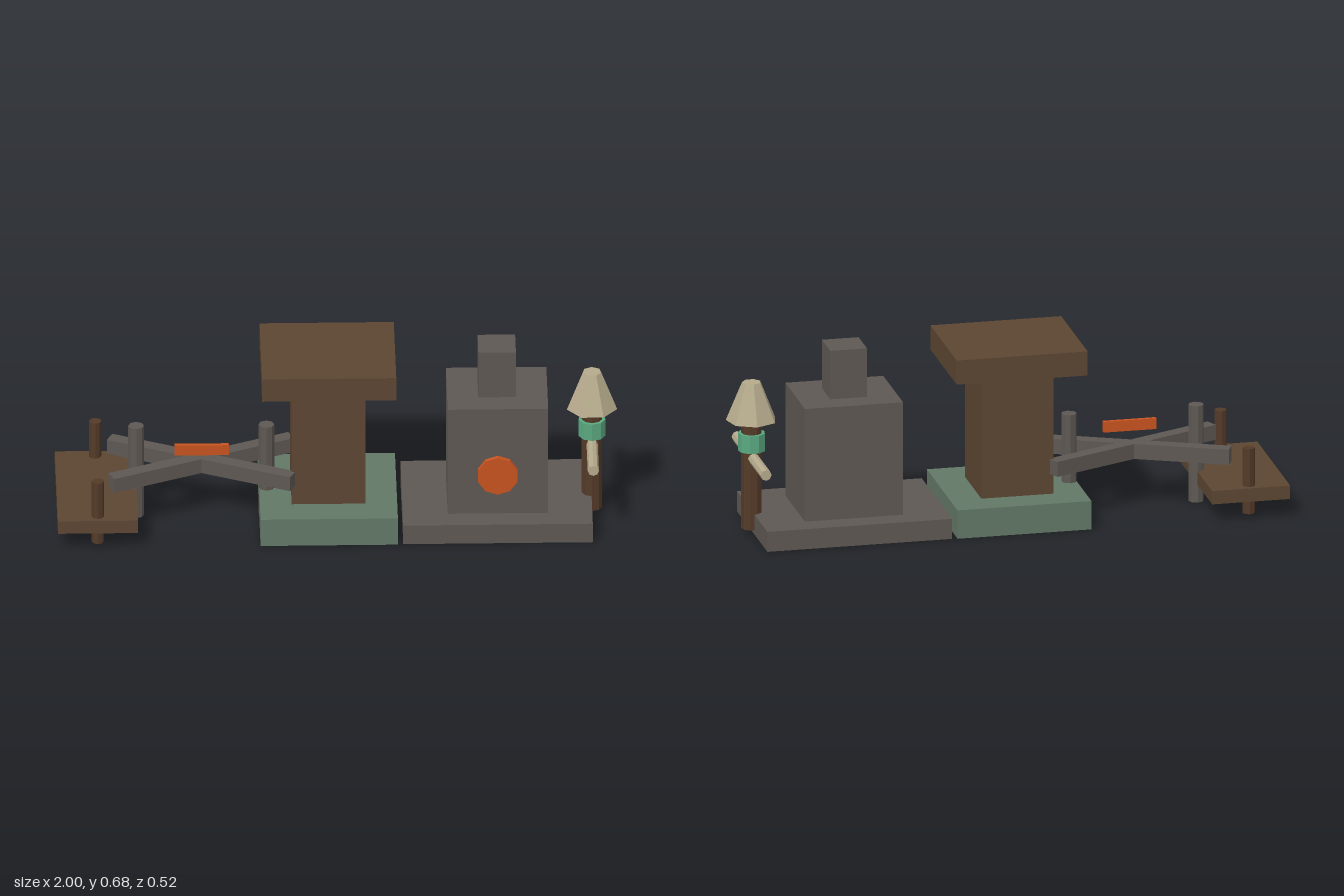
import * as THREE from 'three';

const mat = (name, color) => {
  const m = new THREE.MeshStandardMaterial({ color, flatShading: true });
  m.name = name;
  return m;
};

export function createModel() {
  const wood = mat('wood', 0x5c4632);
  const darkWood = mat('dark wood', 0x543a28);
  const iron = mat('iron', 0x5e5853);
  const moss = mat('moss green', 0x627866);
  const jade = mat('jade', 0x5aa880);
  const ember = mat('ember orange', 0xc9531f);
  const bone = mat('bone', 0xb5aa8c);

  const model = new THREE.Group();
  model.name = 'campWorkshop';

  const add = (group, name, geometry, material, x, y, z) => {
    const mesh = new THREE.Mesh(geometry, material);
    mesh.name = name;
    mesh.position.set(x, y, z);
    group.add(mesh);
    return mesh;
  };
  // Box given by its extents along each axis
  const box = (group, name, material, [x0, x1], [y0, y1], [z0, z1]) =>
    add(group, name, new THREE.BoxGeometry(x1 - x0, y1 - y0, z1 - z0), material,
      (x0 + x1) / 2, (y0 + y1) / 2, (z0 + z1) / 2);
  // Upright cylinder or cone between two heights
  const post = (group, name, material, x, z, y0, y1, rTop, rBottom, sides) =>
    add(group, name, new THREE.CylinderGeometry(rTop, rBottom, y1 - y0, sides), material,
      x, (y0 + y1) / 2, z);
  const section = (name) => {
    const g = new THREE.Group();
    g.name = name;
    model.add(g);
    return g;
  };

  // Low bench with a peg through each end
  const bench = section('bench');
  box(bench, 'benchPlank', wood, [-1, -0.715], [0.067, 0.117], [-0.262, 0.262]);
  for (const s of [-1, 1]) post(bench, 'benchPeg', darkWood, -0.857, s * 0.225, 0.015, 0.259, 0.022, 0.022, 8);

  // Rack: two posts, crossed bars and a glowing bar
  const rack = section('rack');
  for (const x of [-0.716, -0.252]) post(rack, 'rackPost', iron, x, 0, 0, 0.36, 0.028, 0.028, 8);
  for (const s of [-1, 1]) {
    const bar = add(rack, 'crossBar', new THREE.BoxGeometry(0.71, 0.056, 0.05), iron, -0.484, 0.208, 0);
    bar.rotation.y = s * 0.427;
  }
  box(rack, 'glowingBar', ember, [-0.58, -0.387], [0.265, 0.305], [0.037, 0.052]);

  // Central pillar with plinth and slab
  const pillar = section('pillar');
  box(pillar, 'plinth', moss, [-0.278, 0.211], [0, 0.106], [-0.245, 0.245]);
  box(pillar, 'pillarShaft', wood, [-0.165, 0.098], [0.106, 0.565], [-0.131, 0.131]);
  box(pillar, 'pillarSlab', wood, [-0.272, 0.206], [0.565, 0.655], [-0.21, 0.21]);

  // Furnace
  const furnace = section('furnace');
  box(furnace, 'furnaceBase', iron, [0.23, 0.905], [0, 0.075], [-0.242, 0.242]);
  box(furnace, 'furnaceBody', iron, [0.39, 0.748], [0.075, 0.496], [-0.157, 0.157]);
  box(furnace, 'chimney', iron, [0.501, 0.635], [0.496, 0.677], [-0.067, 0.067]);
  const door = add(furnace, 'fireDoor', new THREE.CylinderGeometry(0.074, 0.074, 0.024, 10), ember, 0.568, 0.234, 0.163);
  door.rotation.x = Math.PI / 2;

  // Lamp post with collar, crossbar and faceted shade
  const lamp = section('lamp');
  post(lamp, 'lampPole', darkWood, 0.907, 0, 0.015, 0.425, 0.037, 0.037, 9);
  post(lamp, 'lampCollar', jade, 0.907, 0, 0.305, 0.371, 0.049, 0.049, 9);
  post(lamp, 'lampShade', bone, 0.907, 0, 0.418, 0.56, 0.034, 0.092, 7).rotation.y = Math.PI;
  const arm = post(lamp, 'lampCrossbar', bone, 0.907, 0, 0.051, 0.515, 0.02, 0.02, 8);
  arm.rotation.x = Math.PI / 2;

  return model;
}
